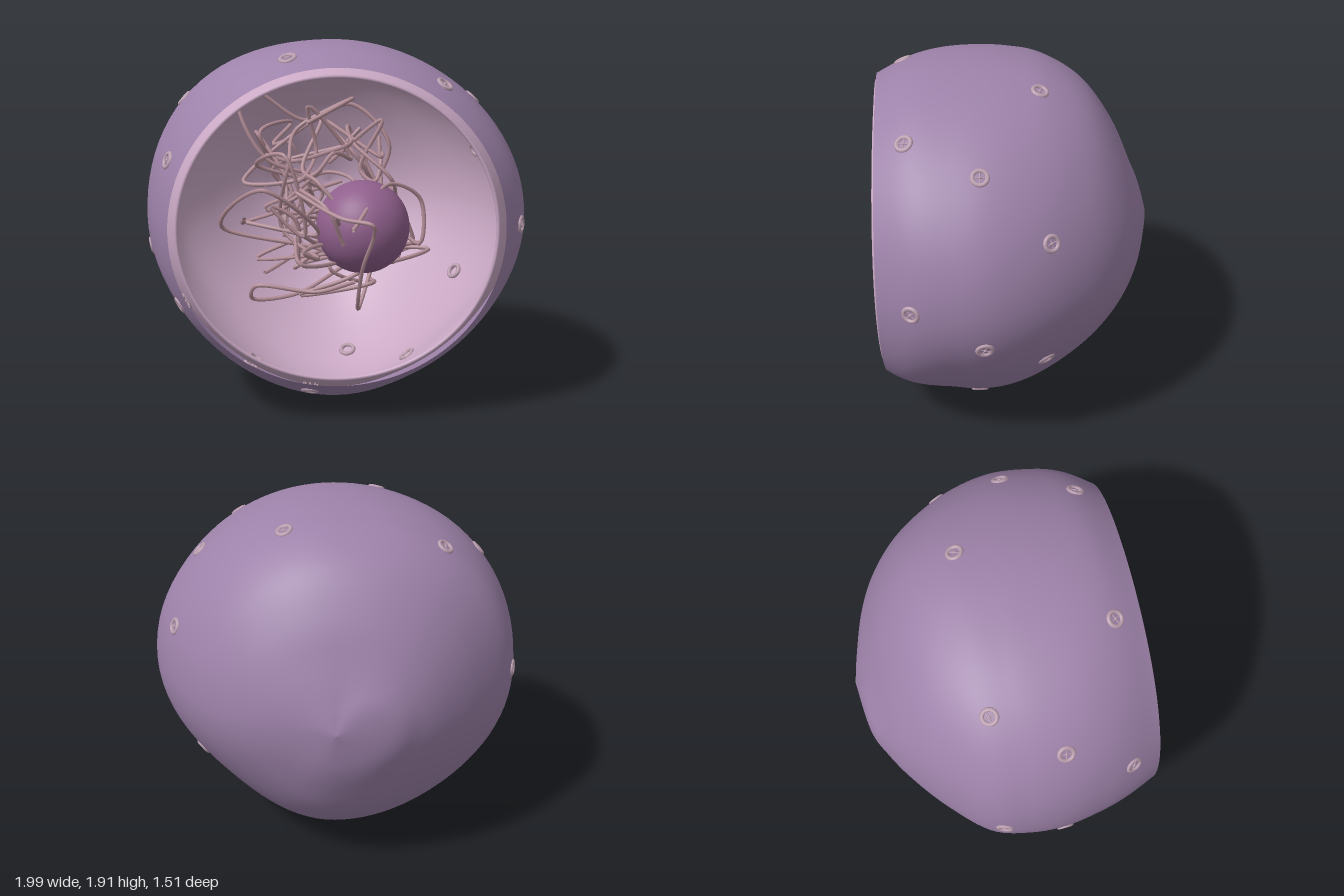
import * as THREE from 'three';

const V = (x, y, z) => new THREE.Vector3(x, y, z);
const mat = (color) => new THREE.MeshStandardMaterial({ color, side: THREE.DoubleSide });
const outerMat = mat(0x9d82a9), innerMat = mat(0xc9a8c4), poreMat = mat(0xbc9fb0);
const coreMat = mat(0x8f5f8c), threadMat = mat(0xb48e98);
const INSET = 0.95;

// Cross-sections from open front to closed back: z, reach to +x, -x, up, down
const SECTIONS = [
  [0.70, 0.83, 0.83, 0.80, 0.80],
  [0.55, 0.93, 0.90, 0.87, 0.89],
  [0.40, 0.98, 0.95, 0.90, 0.96],
  [0.20, 1.00, 0.99, 0.91, 1.00],
  [0.00, 0.96, 0.985, 0.90, 0.98],
  [-0.20, 0.87, 0.93, 0.86, 0.89],
  [-0.40, 0.73, 0.755, 0.745, 0.745],
  [-0.55, 0.565, 0.58, 0.54, 0.58],
  [-0.65, 0.38, 0.43, 0.31, 0.40],
  [-0.72, 0.15, 0.28, 0.12, 0.22],
  [-0.755, 0, 0, 0, 0],
];
const reach = [1, 2, 3, 4].map((k) =>
  new THREE.SplineCurve(SECTIONS.map((s) => new THREE.Vector2(s[0], s[k]))));

// Point on the lopsided shell; inset < 1 gives the inner membrane
function shellPoint(t, a, inset = 1) {
  const c = Math.cos(a), s = Math.sin(a);
  const across = reach[c >= 0 ? 0 : 1].getPoint(t);
  const upright = reach[s >= 0 ? 2 : 3].getPoint(t);
  // The diagonals swell or flatten away from the round opening
  const diagonal = s >= 0 ? (c >= 0 ? -0.015 : 0.035) : (c >= 0 ? -0.08 : -0.035);
  const depth = THREE.MathUtils.smoothstep(0.7 - across.x, 0, 0.4);
  const r = (across.y * c * c + upright.y * s * s) * (1 + diagonal * depth * Math.sin(2 * a) ** 2);
  const z = across.x + 0.012 * Math.cos(2 * a) * Math.max(0, across.x) / 0.7;
  return V(r * c * inset, 1 + r * s * inset, z < 0 ? z * inset : z);
}

function membrane(inset) {
  const rows = 64, cols = 96, pos = [], index = [];
  for (let i = 0; i <= rows; i++) {
    for (let j = 0; j < cols; j++) {
      pos.push(...shellPoint(i / rows, (j / cols) * Math.PI * 2, inset).toArray());
    }
  }
  for (let i = 0; i < rows; i++) {
    for (let j = 0; j < cols; j++) {
      const k = (j + 1) % cols, f = i * cols, b = f + cols;
      index.push(b + j, b + k, f + j, b + k, f + k, f + j);
    }
  }
  const g = new THREE.BufferGeometry();
  g.setAttribute('position', new THREE.Float32BufferAttribute(pos, 3));
  g.setIndex(index);
  g.computeVertexNormals();
  return g;
}

function add(parent, name, geometry, material, p = V(0, 0, 0)) {
  const m = new THREE.Mesh(geometry, material);
  m.name = name;
  m.position.copy(p);
  parent.add(m);
  return m;
}

// Pore: a ring on each membrane, columns between them, a spoked plug
const ringGeo = new THREE.TorusGeometry(0.036, 0.012, 8, 24);
const columnGeo = new THREE.CylinderGeometry(0.005, 0.005, 0.05, 5).rotateX(Math.PI / 2);
const spokeGeo = new THREE.CylinderGeometry(0.004, 0.004, 0.034, 5).translate(0, 0.017, 0);
const plugGeo = new THREE.SphereGeometry(0.008, 10, 8);

function pore(z, degrees) {
  const a = THREE.MathUtils.degToRad(degrees);
  let lo = 0, hi = 1;
  for (let i = 0; i < 24; i++) {
    const mid = (lo + hi) / 2;
    if (shellPoint(mid, a).z > z) lo = mid; else hi = mid;
  }
  const e = 0.01;
  const around = shellPoint(lo, a + e).sub(shellPoint(lo, a - e));
  const forward = shellPoint(lo - e, a).sub(shellPoint(lo + e, a));
  const normal = around.cross(forward).normalize();

  const g = new THREE.Group();
  g.name = 'pore';
  add(g, 'outerPoreRing', ringGeo, poreMat, V(0, 0, -0.003));
  add(g, 'innerPoreRing', ringGeo, poreMat, V(0, 0, -0.05));
  add(g, 'porePlug', plugGeo, poreMat);
  for (let i = 0; i < 8; i++) {
    const b = (i / 8) * Math.PI * 2;
    add(g, 'poreColumn', columnGeo, poreMat, V(0.036 * Math.cos(b), 0.036 * Math.sin(b), -0.025));
    if (i % 2) add(g, 'poreSpoke', spokeGeo, poreMat).rotation.z = b;
  }
  g.position.copy(shellPoint(lo, a));
  g.quaternion.setFromUnitVectors(V(0, 0, 1), normal);
  return g;
}

function seeded(seed) {
  return () => {
    seed = (seed * 16807) % 2147483647;
    return seed / 2147483647;
  };
}

// Thread: smooth tube that wanders around the core, looping out and back
function thread(rand) {
  const wander = () => V(rand() - 0.5, rand() - 0.5, rand() - 0.5).normalize();
  const dir = wander(), pts = [];
  for (let i = 0; i < 17; i++) {
    dir.addScaledVector(wander(), 0.95).normalize();
    const r = 0.27 + 0.4 * rand() ** 1.4;
    pts.push(V(
      0.04 + dir.x * r * (dir.x > 0 ? 0.8 : 1),
      1.0 + dir.y * r * (dir.y > 0 ? 1 : 0.75),
      0.22 + dir.z * r * 0.7,
    ));
  }
  return new THREE.TubeGeometry(new THREE.CatmullRomCurve3(pts), 200, 0.011, 6);
}

export function createModel() {
  const model = new THREE.Group();
  model.name = 'cutawayNucleus';

  add(model, 'outerMembrane', membrane(1), outerMat);
  add(model, 'innerMembrane', membrane(INSET), innerMat);

  // Rounded edge of the inner membrane
  const rim = [];
  for (let i = 0; i < 48; i++) rim.push(shellPoint(0, (i / 48) * Math.PI * 2, INSET));
  const rimCurve = new THREE.CatmullRomCurve3(rim, true);
  add(model, 'innerRim', new THREE.TubeGeometry(rimCurve, 120, 0.01, 8, true), innerMat);

  // Three staggered bands of pores: z, then angles around the front axis
  const bands = [
    [0.55, [0, 53, 106, 158, 207, 261]],
    [0.20, [40, 142, 190, 242, 297, 348]],
    [-0.13, [20, 73, 127, 177, 276, 329]],
  ];
  const pores = new THREE.Group();
  pores.name = 'pores';
  for (const [z, angles] of bands) for (const a of angles) pores.add(pore(z, a));
  model.add(pores);

  // Dense core
  add(model, 'core', new THREE.SphereGeometry(0.245, 48, 32), coreMat, V(0.147, 0.945, 0.32));

  // Tangled threads around the core
  const threads = new THREE.Group();
  threads.name = 'threads';
  const rand = seeded(90210);
  for (let i = 0; i < 9; i++) add(threads, 'thread', thread(rand), threadMat);
  // A strand up to the corner, and a loop bulging out of the opening
  const strands = [
    [V(-0.1, 1.2, 0.2), V(-0.36, 1.3, 0.25), V(-0.5, 1.6, 0.2), V(-0.42, 1.64, 0.15),
      V(-0.15, 1.48, 0.1), V(0.1, 1.56, 0.05), V(0.3, 1.35, 0.1), V(0.22, 1.1, 0.05)],
    [V(-0.2, 1.15, 0.45), V(0.02, 1.06, 0.66), V(0.17, 1.04, 0.74),
      V(0.18, 0.98, 0.69), V(0.13, 0.78, 0.58), V(0.12, 0.52, 0.4), V(0.2, 0.68, 0.2)],
    [V(0.05, 0.7, 0.2), V(-0.2, 0.55, 0.2), V(-0.44, 0.54, 0.25), V(-0.42, 0.62, 0.3),
      V(-0.1, 0.6, 0.35), V(0.1, 0.68, 0.45)],
  ];
  for (const pts of strands) {
    const curve = new THREE.CatmullRomCurve3(pts);
    add(threads, 'thread', new THREE.TubeGeometry(curve, 90, 0.011, 6), threadMat);
  }
  model.add(threads);

  return model;
}
